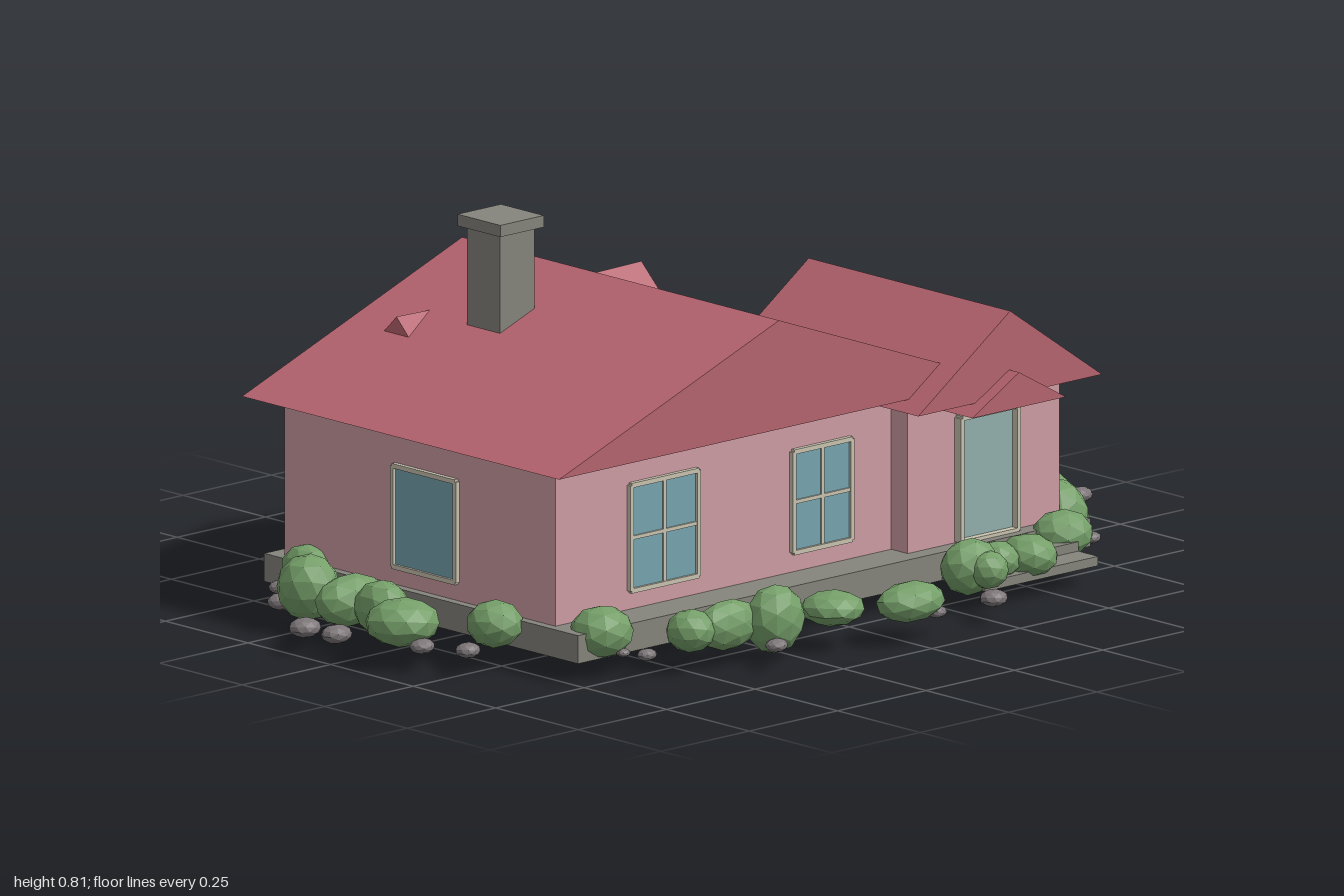
import * as THREE from 'three';

const mat = (name, color, flatShading = false) => {
  const m = new THREE.MeshStandardMaterial({ color, flatShading });
  m.name = name;
  return m;
};

export function createModel() {
  const M = {
    roof: mat('roof red', 0xb86570),
    wall: mat('wall pink', 0xcf9ea5),
    stone: mat('masonry grey', 0x86857d),
    glass: mat('window glass', 0x77a5b0),
    door: mat('door glass', 0x93b1ae),
    frame: mat('frame cream', 0xcbc5b2),
    bush: mat('bush green', 0x759f69, true),
    rock: mat('rock grey', 0x7d7678, true),
  };
  const root = new THREE.Group();
  root.name = 'house';

  const add = (name, geo, material, parent = root) => {
    const mesh = new THREE.Mesh(geo, material);
    mesh.name = name;
    parent.add(mesh);
    return mesh;
  };
  // Box given by its extents on each axis
  const box = (name, m, x0, x1, y0, y1, z0, z1, parent) => {
    const g = new THREE.BoxGeometry(x1 - x0, y1 - y0, z1 - z0);
    g.translate((x0 + x1) / 2, (y0 + y1) / 2, (z0 + z1) / 2);
    return add(name, g, m, parent);
  };
  // Gable prism with its ridge along z
  const gable = (name, x0, x1, y0, y1, z0, z1) => {
    const s = new THREE.Shape();
    s.moveTo(x0, y0);
    s.lineTo(x1, y0);
    s.lineTo((x0 + x1) / 2, y1);
    const g = new THREE.ExtrudeGeometry(s, { depth: z1 - z0, bevelEnabled: false });
    g.translate(0, 0, z0);
    return add(name, g, M.roof);
  };

  // Foundation and entrance steps
  box('foundation', M.stone, -0.73, 0.72, 0.04, 0.10, -0.49, 0.46);
  box('upperStep', M.stone, 0.30, 0.62, 0.04, 0.08, 0.46, 0.53);
  box('lowerStep', M.stone, 0.30, 0.62, 0.04, 0.06, 0.46, 0.59);

  // Walls
  box('mainWalls', M.wall, -0.71, 0.43, 0.10, 0.436, -0.45, 0.37);
  box('wingWalls', M.wall, 0.24, 0.67, 0.10, 0.416, -0.045, 0.42);
  box('backBay', M.wall, -0.42, 0.17, 0.10, 0.41, -0.50, -0.44);

  // Roofs
  gable('mainRoof', -0.765, 0.48, 0.435, 0.667, -0.52, 0.44);
  gable('wingRoof', 0.195, 0.715, 0.415, 0.595, -0.11, 0.50);
  gable('porchRoof', 0.32, 0.585, 0.395, 0.47, 0.41, 0.53);

  // Sloping roof of the back bay
  const lean = new THREE.Shape();
  lean.moveTo(0.44, 0.408);
  lean.lineTo(0.55, 0.408);
  lean.lineTo(0.44, 0.49);
  const leanGeo = new THREE.ExtrudeGeometry(lean, { depth: 0.69, bevelEnabled: false });
  leanGeo.rotateY(Math.PI / 2); // profile axis now points to -z
  leanGeo.translate(-0.47, 0, 0);
  add('bayRoof', leanGeo, M.roof);

  // Small gablets on both slopes: a triangular face with a level ridge into the roof
  const gablet = (name, xFace, xTip, y0, y1, z, w) => {
    const g = new THREE.BufferGeometry();
    const a = [xFace, y0, z + w], b = [xFace, y0, z - w], c = [xFace, y1, z], d = [xTip, y1 - 0.002, z];
    const faces = xFace > xTip ? [a, b, c, a, c, d, b, d, c] : [a, c, b, a, d, c, b, c, d];
    g.setAttribute('position', new THREE.Float32BufferAttribute(faces.flat(), 3));
    g.computeVertexNormals();
    add(name, g, M.roof);
  };
  gablet('leftGablet', 0.22, 0.085, 0.53, 0.582, -0.365, 0.055);
  gablet('rightGablet', -0.47, -0.37, 0.54, 0.582, -0.368, 0.042);

  // Chimney
  box('chimneyShaft', M.stone, -0.39, -0.292, 0.5, 0.79, -0.24, -0.14);
  box('chimneyCap', M.stone, -0.403, -0.28, 0.785, 0.81, -0.255, -0.125);

  // Windows: thin pane, border strips and crossing bars, facing +z
  const paneGroup = (name, w, h, material, bars, t) => {
    const g = new THREE.Group();
    g.name = name;
    root.add(g);
    const x = w / 2, y = h / 2, b = 0.01;
    box('pane', material, -x, x, -y, y, 0, 0.004, g);
    for (const s of [-1, 1]) {
      box('frameSide', M.frame, s * x - b / 2, s * x + b / 2, -y, y, 0, t, g);
      box('frameEnd', M.frame, -x, x, s * y - b / 2, s * y + b / 2, 0, t, g);
    }
    if (bars) {
      box('barUpright', M.frame, -0.004, 0.004, -y, y, 0, 0.008, g);
      box('barCross', M.frame, -x, x, -0.004, 0.004, 0, 0.008, g);
    }
    return g;
  };
  paneGroup('frontWindowWide', 0.19, 0.225, M.glass, true, 0.01).position.set(-0.407, 0.253, 0.37);
  paneGroup('frontWindowNarrow', 0.165, 0.215, M.glass, true, 0.01).position.set(0.04, 0.25, 0.37);
  const side = paneGroup('sideWindow', 0.19, 0.215, M.glass, false, 0.01);
  side.position.set(-0.71, 0.247, -0.02);
  side.rotation.y = -Math.PI / 2;
  paneGroup('frontDoor', 0.16, 0.265, M.door, false, 0.02).position.set(0.457, 0.235, 0.42);

  // Planting: faceted blobs, each [x, z, half width, half depth, half height]
  const blobs = (name, list, m, geoDetail, yOf) => {
    const group = new THREE.Group();
    group.name = name;
    root.add(group);
    const variants = [0, 1, 2].map((i) =>
      new THREE.IcosahedronGeometry(1, geoDetail).rotateX(i * 0.7).rotateY(i * 1.1));
    list.forEach(([x, z, rx, rz, ry], i) => {
      const b = add(name + (i + 1), variants[i % 3], m, group);
      b.position.set(x, yOf(ry), z);
      b.scale.set(rx, ry, rz);
    });
  };
  const backBushes = [
    [-0.33, -0.62, 0.05, 0.045, 0.045], [-0.17, -0.60, 0.07, 0.08, 0.055], [0, -0.64, 0.053, 0.075, 0.05],
    [0.15, -0.63, 0.09, 0.068, 0.055], [0.30, -0.60, 0.075, 0.07, 0.06], [0.41, -0.54, 0.08, 0.065, 0.07],
    [0.52, -0.49, 0.05, 0.06, 0.05], [0.65, -0.435, 0.085, 0.075, 0.05], [-0.52, -0.5, 0.06, 0.04, 0.045],
  ];
  const leftBushes = [
    [0.755, -0.32, 0.09, 0.055, 0.065], [0.785, -0.18, 0.07, 0.06, 0.05], [0.88, -0.215, 0.055, 0.085, 0.05],
    [0.80, -0.03, 0.08, 0.05, 0.065], [0.855, 0.155, 0.07, 0.07, 0.04], [0.78, 0.21, 0.075, 0.08, 0.08],
    [0.71, 0.36, 0.07, 0.08, 0.085], [0.63, 0.47, 0.07, 0.06, 0.05],
  ];
  const frontBushes = [
    [0.455, 0.555, 0.06, 0.065, 0.045], [0.30, 0.545, 0.07, 0.055, 0.06], [0.31, 0.59, 0.045, 0.04, 0.04],
    [0.38, 0.54, 0.05, 0.05, 0.04], [0.01, 0.675, 0.085, 0.055, 0.042], [-0.145, 0.605, 0.07, 0.065, 0.036],
    [-0.295, 0.59, 0.07, 0.055, 0.073], [-0.40, 0.56, 0.085, 0.042, 0.053], [-0.49, 0.545, 0.055, 0.05, 0.045],
  ];
  const rightBushes = [
    [-0.645, 0.44, 0.07, 0.065, 0.055], [-0.76, 0.24, 0.06, 0.06, 0.05], [-0.89, 0.10, 0.082, 0.075, 0.05],
    [-0.84, -0.015, 0.055, 0.065, 0.06], [-0.84, -0.11, 0.09, 0.055, 0.055], [-0.83, -0.25, 0.068, 0.065, 0.07],
    [-0.72, -0.37, 0.05, 0.06, 0.05],
  ];
  blobs('backBush', backBushes, M.bush, 1, () => 0.09);
  blobs('leftBush', leftBushes, M.bush, 1, (r) => Math.max(0.085, r));
  blobs('frontBush', frontBushes, M.bush, 1, () => 0.085);
  blobs('rightBush', rightBushes, M.bush, 1, () => 0.09);

  // Scattered stones: [x, z, size]
  const stones = [
    [-0.24, -0.68, 1], [-0.15, -0.72, 0.8], [-0.535, -0.57, 1], [-0.61, -0.54, 1.1], [-0.85, -0.31, 1],
    [-0.965, -0.115, 1.15], [-0.955, -0.03, 1.1], [-0.895, 0.165, 0.9], [-0.85, 0.255, 0.9], [-0.605, 0.535, 0.7],
    [-0.355, 0.66, 0.8], [0.245, 0.675, 1], [0.97, 0.16, 0.9], [0.81, 0.315, 0.8], [0.93, -0.015, 0.8],
    [0.91, -0.28, 0.8], [0.61, -0.545, 0.9], [0.46, -0.635, 1], [0.115, -0.69, 0.9], [-0.77, -0.4, 0.8],
    [-0.63, 0.49, 0.5], [-0.385, 0.485, 0.3], [-0.3, 0.475, 0.3], [0.74, 0.44, 0.7], [0.08, 0.68, 0.7],
  ].map(([x, z, s]) => [x, z, 0.032 * s, 0.027 * s, 0.018 * s]);
  blobs('stone', stones, M.rock, 1, () => 0.052);

  return root;
}
